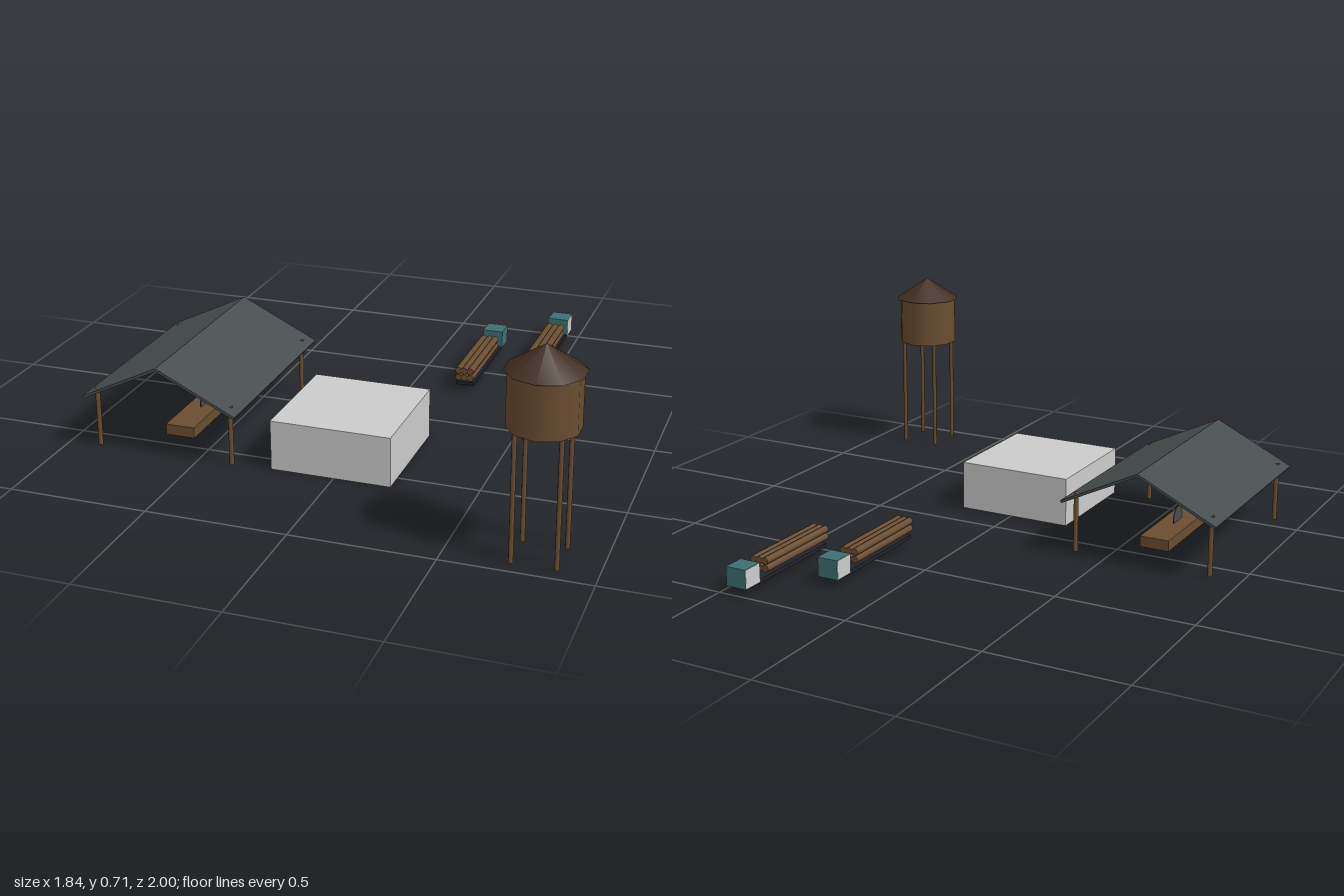
import * as THREE from 'three';

export function createModel() {
  const root = new THREE.Group();
  root.name = 'lumberYard';
  const mat = (name, color) => {
    const m = new THREE.MeshStandardMaterial({ color });
    m.name = name;
    return m;
  };
  const wood = mat('brown wood', 0x6b4e31);
  const darkWood = mat('dark brown shingles', 0x402e22);
  const slate = mat('slate grey roof', 0x484e4f);
  const pale = mat('pale grey', 0xcccccc);
  const teal = mat('teal paint', 0x3e7073);
  const dark = mat('dark chassis', 0x22232c);

  const add = (parent, name, geo, material, x, y, z) => {
    const mesh = new THREE.Mesh(geo, material);
    mesh.name = name;
    mesh.position.set(x, y, z);
    parent.add(mesh);
    return mesh;
  };
  const box = (w, h, d) => new THREE.BoxGeometry(w, h, d);
  const group = (name, x, z) => {
    const g = new THREE.Group();
    g.name = name;
    g.position.set(x, 0, z);
    root.add(g);
    return g;
  };

  // Plain storage building
  add(root, 'building', box(0.435, 0.182, 0.44), pale, -0.012, 0.091, 0.355);

  // Open saw shed: posts, pitched roof, saw table and blade
  const shed = group('sawShed', -0.63, 0.245);
  const run = 0.287, rise = 0.14;
  const slope = Math.hypot(run, rise), pitch = Math.atan2(rise, run);
  for (const s of [-1, 1]) {
    const panel = add(shed, 'roofPanel', box(slope + 0.005, 0.01, 0.765), slate, s * run / 2, 0.267, 0);
    panel.rotation.z = -s * pitch;
    for (const z of [-0.327, 0.335]) {
      add(shed, 'shedPost', new THREE.CylinderGeometry(0.009, 0.009, 0.22, 8), wood, s * 0.255, 0.11, z);
    }
  }
  add(shed, 'sawTable', box(0.11, 0.04, 0.43), wood, 0, 0.035, 0);
  const blade = add(shed, 'sawBlade', new THREE.CylinderGeometry(0.04, 0.04, 0.004, 16), slate, 0, 0.071, 0);
  blade.rotation.z = Math.PI / 2;

  // Water tower: four legs, round tank, conical roof
  const tower = group('waterTower', 0.795, 0.87);
  for (const x of [-0.073, 0.073]) {
    for (const z of [-0.073, 0.073]) {
      add(tower, 'towerLeg', new THREE.CylinderGeometry(0.008, 0.008, 0.45, 8), wood, x, 0.225, z);
    }
  }
  add(tower, 'tank', new THREE.CylinderGeometry(0.118, 0.118, 0.185, 10), wood, 0, 0.5325, 0);
  add(tower, 'tankRoof', new THREE.ConeGeometry(0.13, 0.085, 10), darkWood, 0, 0.6675, 0);

  // Log trucks: cab at the back end (-z), chassis and stacked logs
  const truck = (x, z, windowSides) => {
    const g = group('logTruck', x, z);
    add(g, 'cab', box(0.078, 0.07, 0.08), teal, 0, 0.064, -0.21);
    for (const s of windowSides) {
      add(g, 'cabSidePanel', box(0.002, 0.068, 0.078), pale, s * 0.0392, 0.064, -0.21);
    }
    add(g, 'chassis', box(0.07, 0.014, 0.44), dark, 0, 0.029, 0.01);
    const log = new THREE.CylinderGeometry(0.0135, 0.0135, 0.362, 8).rotateX(Math.PI / 2);
    for (let row = 0; row < 2; row++) {
      for (let i = -1; i <= 1; i++) {
        add(g, 'log', log, wood, i * 0.0235, 0.057 + row * 0.027, 0.061);
      }
    }
  };
  truck(0.21, -0.535, [-1]);
  truck(0.429, -0.75, [-1, 1]);

  return root;
}
